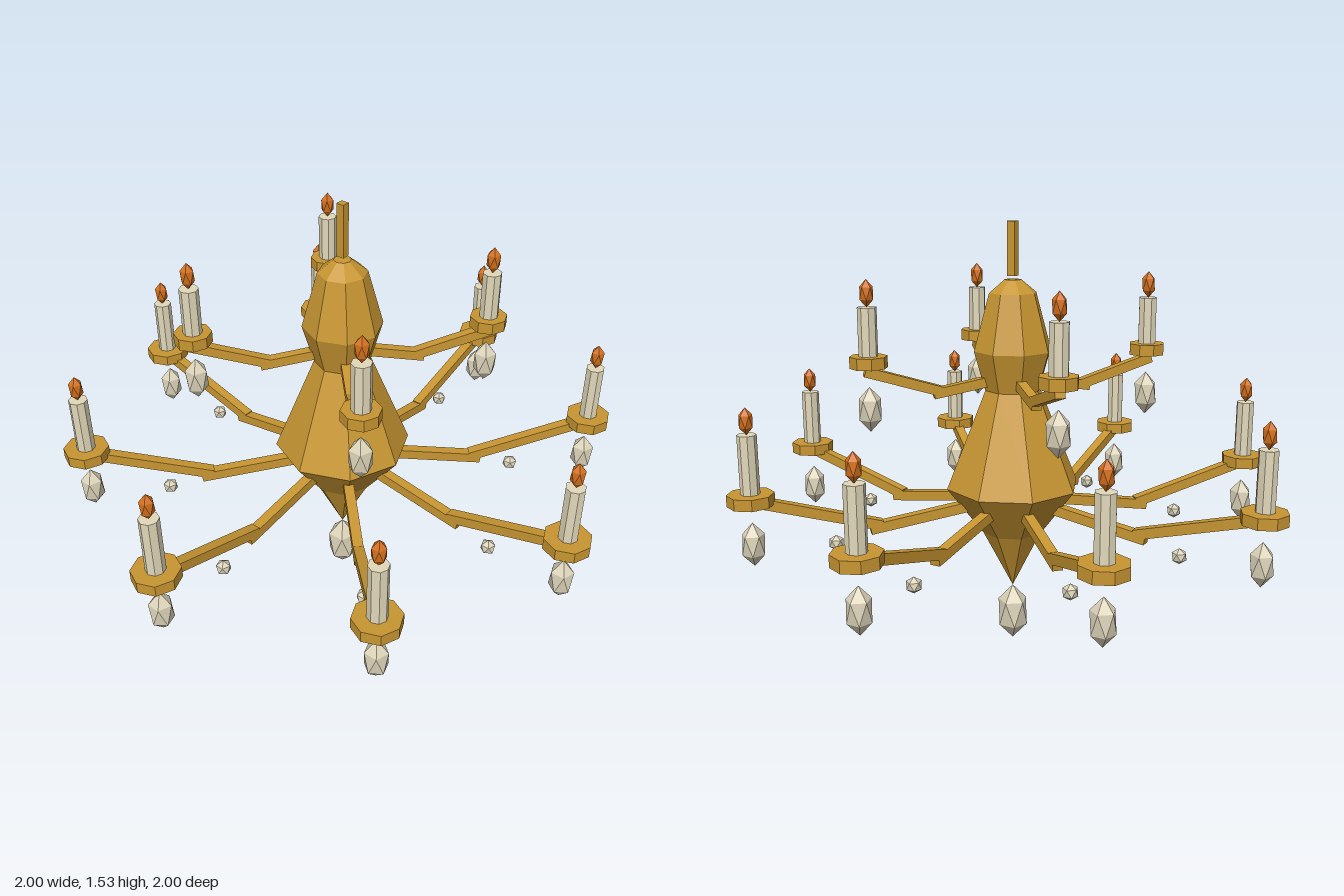
import * as THREE from 'three';

const gold = new THREE.MeshStandardMaterial({ color: 0xc89632 });
gold.name = 'gold';
const wax = new THREE.MeshStandardMaterial({ color: 0xe2d9ba });
wax.name = 'candle wax';
const glass = new THREE.MeshStandardMaterial({ color: 0xdcd3b9 });
glass.name = 'crystal';
const fire = new THREE.MeshStandardMaterial({ color: 0xd4701c });
fire.name = 'flame orange';

// Faceted mesh helper: every face gets its own flat normal
function part(name, geometry, material, x = 0, y = 0, z = 0) {
  const flat = geometry.index ? geometry.toNonIndexed() : geometry;
  flat.computeVertexNormals();
  const mesh = new THREE.Mesh(flat, material);
  mesh.name = name;
  mesh.position.set(x, y, z);
  return mesh;
}

// Icosahedron standing on a corner, stretched to half-width r and half-height h
function gem(r, h) {
  const g = new THREE.IcosahedronGeometry(1, 0);
  g.rotateX(-Math.atan((1 + Math.sqrt(5)) / 2));
  g.rotateY(Math.PI / 2);
  return g.scale(r, h, r);
}

// Square bar between two points [radius, height] in the arm's plane
function bar(name, [r0, y0], [r1, y1], size) {
  const length = Math.hypot(r1 - r0, y1 - y0);
  const mesh = part(name, new THREE.BoxGeometry(length, size, size), gold, (r0 + r1) / 2, (y0 + y1) / 2);
  mesh.rotation.z = Math.atan2(y1 - y0, r1 - r0);
  return mesh;
}

// Dish, candle, flame and hanging crystal at the end of an arm.
// Kept unrotated so the gems all face the same way.
function candleSet(radius, angle, dishRadius, dishBottom, candleTop, crystalY) {
  const set = new THREE.Group();
  set.name = 'candleSet';
  set.position.set(radius * Math.cos(angle), 0, radius * Math.sin(angle));
  const dishTop = dishBottom + 0.04;
  const candleHeight = candleTop - dishTop;
  set.add(
    part('dish', new THREE.CylinderGeometry(dishRadius, dishRadius, 0.04, 8), gold, 0, dishBottom + 0.02),
    part('candle', new THREE.CylinderGeometry(0.033, 0.033, candleHeight, 8), wax, 0, dishTop + candleHeight / 2),
    part('flame', gem(0.026, 0.047), fire, 0, candleTop + 0.046),
    part('hangingCrystal', gem(0.044, 0.078), glass, 0, crystalY)
  );
  return set;
}

// Two-piece bent arm turned about the centre
function arm(angle, inner, outer, size) {
  const group = new THREE.Group();
  group.name = 'arm';
  group.rotation.y = -angle;
  group.add(bar('innerArm', ...inner, size), bar('outerArm', ...outer, size));
  return group;
}

export function createModel() {
  const model = new THREE.Group();
  model.name = 'chandelier';

  // Eight-sided turned body
  const profile = [
    [0, 0.21], [0.11, 0.425], [0.243, 0.6], [0.1, 0.95],
    [0.14, 1.09], [0.085, 1.29], [0.03, 1.335], [0, 1.337]
  ].map(([r, y]) => new THREE.Vector2(r, y));
  model.add(part('body', new THREE.LatheGeometry(profile, 8), gold));

  // Hanging rod and bottom crystal
  model.add(part('rod', new THREE.BoxGeometry(0.028, 0.185, 0.028), gold, 0, 1.44));
  model.add(part('bottomCrystal', gem(0.06, 0.105), glass, 0, 0.105));

  // Lower tier: eight arms with candles and small beads
  for (let i = 0; i < 8; i++) {
    const a = (i * Math.PI) / 4;
    model.add(arm(a, [[0.12, 0.54], [0.52, 0.48]], [[0.48, 0.492], [0.92, 0.617]], 0.036));
    model.add(candleSet(0.92, a, 0.08, 0.603, 0.848, 0.462));
    model.add(part('bead', gem(0.028, 0.028), glass, 0.64 * Math.cos(a), 0.44, 0.64 * Math.sin(a)));
  }

  // Upper tier: four diagonal arms with candles
  for (let i = 0; i < 4; i++) {
    const a = Math.PI / 4 + (i * Math.PI) / 2;
    model.add(arm(a, [[0.08, 0.985], [0.285, 0.95]], [[0.255, 0.957], [0.52, 1.04]], 0.034));
    model.add(candleSet(0.506, a, 0.065, 1.052, 1.257, 0.908));
  }

  return model;
}
